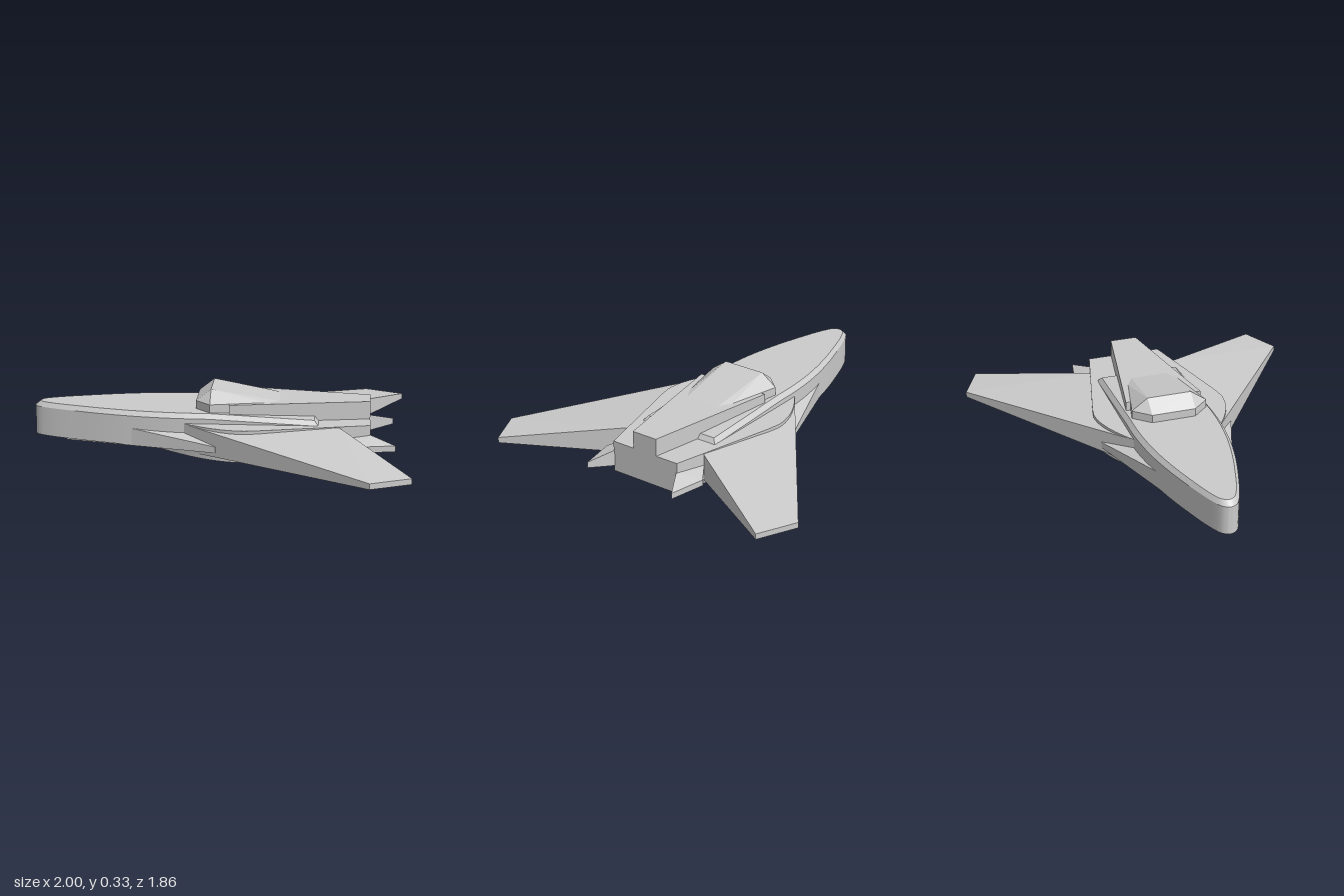
import * as THREE from 'three';
import { toCreasedNormals } from 'three/addons/utils/BufferGeometryUtils.js';
import { ConvexGeometry } from 'three/addons/geometries/ConvexGeometry.js';

const material = new THREE.MeshStandardMaterial({ color: 0xcccccc });

function add(group, name, geometry) {
  const mesh = new THREE.Mesh(geometry, material);
  mesh.name = name;
  group.add(mesh);
}

const hull = (points) => new ConvexGeometry(points.map((p) => new THREE.Vector3(...p)));

// Slab between two heights from half an outline of [x, z], mirrored across z = 0.
function slab(half, y0, y1) {
  const other = half.filter((p) => p[1] > 0).reverse().map(([x, z]) => [x, -z]);
  const shape = new THREE.Shape([...half, ...other].map(([x, z]) => new THREE.Vector2(x, z)));
  const g = new THREE.ExtrudeGeometry(shape, { depth: y1 - y0, bevelEnabled: false });
  g.rotateX(Math.PI / 2).translate(0, y1, 0);
  return toCreasedNormals(g, 0.4);
}

// Tapered blade: leading and trailing [x, z] at root and tip, with bottom/top heights.
function blade(root, rootY, tip, tipY, side) {
  const points = [];
  for (const [ends, heights] of [[root, rootY], [tip, tipY]])
    for (const [x, z] of ends)
      for (const y of heights) points.push([x, y, z * side]);
  return hull(points);
}

// Long rounded nose hull with a chamfered upper rim that sinks toward the tail.
function noseHull() {
  const profile = new THREE.SplineCurve([
    [-1, 0], [-0.993, 0.022], [-0.97, 0.047], [-0.9, 0.08], [-0.8, 0.115], [-0.6, 0.175],
    [-0.4, 0.218], [-0.2, 0.239], [0, 0.24], [0.25, 0.238], [0.53, 0.235],
  ].map(([x, w]) => new THREE.Vector2(x, w))).getPoints(60);
  const sink = (x) => -0.028 * Math.max(0, x + 0.05) / 0.58;
  const pos = [];
  const index = [];
  profile.forEach(({ x, y: w }, s) => {
    const xi = -0.97 + (x + 1) * (1.478 / 1.53);
    const wi = w * 0.91;
    const rim = 0.196 + sink(x);
    const top = 0.221 + sink(xi);
    pos.push(x, 0.04, w, x, rim, w, xi, top, wi, xi, top, -wi, x, rim, -w, x, 0.04, -w);
    if (s === 0) return;
    for (let k = 0; k < 6; k++) {
      const n = (k + 1) % 6;
      const a = (s - 1) * 6;
      const b = s * 6;
      index.push(a + k, b + k, b + n, a + k, b + n, a + n);
    }
  });
  // Tail cap
  const e = (profile.length - 1) * 6;
  for (const i of [0, 5, 4, 0, 4, 1, 1, 4, 3, 1, 3, 2]) index.push(e + i);
  const g = new THREE.BufferGeometry();
  g.setAttribute('position', new THREE.Float32BufferAttribute(pos, 3));
  g.setIndex(index);
  return toCreasedNormals(g, 0.5);
}

export function createModel() {
  const ship = new THREE.Group();
  ship.name = 'spacecraft';

  add(ship, 'noseHull', noseHull());

  // Keel body: pointed front, curved shoulders, straight taper to the tail
  const shoulder = new THREE.CubicBezierCurve(
    new THREE.Vector2(-0.46, 0), new THREE.Vector2(-0.2, 0.235),
    new THREE.Vector2(-0.04, 0.365), new THREE.Vector2(0.15, 0.365),
  ).getPoints(18).map((p) => [p.x, p.y]);
  add(ship, 'keelBody', slab([...shoulder, [0.22, 0.352], [0.8, 0.205]], 0, 0.17));

  // Raised engine spine
  add(ship, 'spine', slab([[0.06, 0.21], [0.8, 0.074]], 0.12, 0.265));

  // Faceted canopy
  const canopy = [];
  for (const s of [1, -1]) {
    for (const y of [0.19, 0.265])
      for (const [x, z] of [[-0.12, 0.12], [-0.04, 0.208], [0.25, 0.14], [0.32, 0.1]])
        canopy.push([x, y, z * s]);
    canopy.push([-0.04, 0.328, 0.12 * s]);
  }
  add(ship, 'canopy', hull(canopy));

  // Mirrored blades
  for (const [label, s] of [['right', 1], ['left', -1]]) {
    add(ship, label + 'Wing', blade(
      [[-0.16, 0.25], [0.64, 0.25]], [0.022, 0.166],
      [[0.79, 0.93], [0.997, 0.83]], [0.05, 0.08], s));
    add(ship, label + 'Strake', blade(
      [[-0.82, 0.08], [-0.1, 0.08]], [0.024, 0.166],
      [[0, 0.368], [0.03, 0.355]], [0.05, 0.083], s));
    add(ship, label + 'TailFin', blade(
      [[0.565, 0.2], [0.8, 0.2]], [0.03, 0.118],
      [[0.73, 0.312], [0.93, 0.272]], [0.05, 0.082], s));
  }
  return ship;
}
